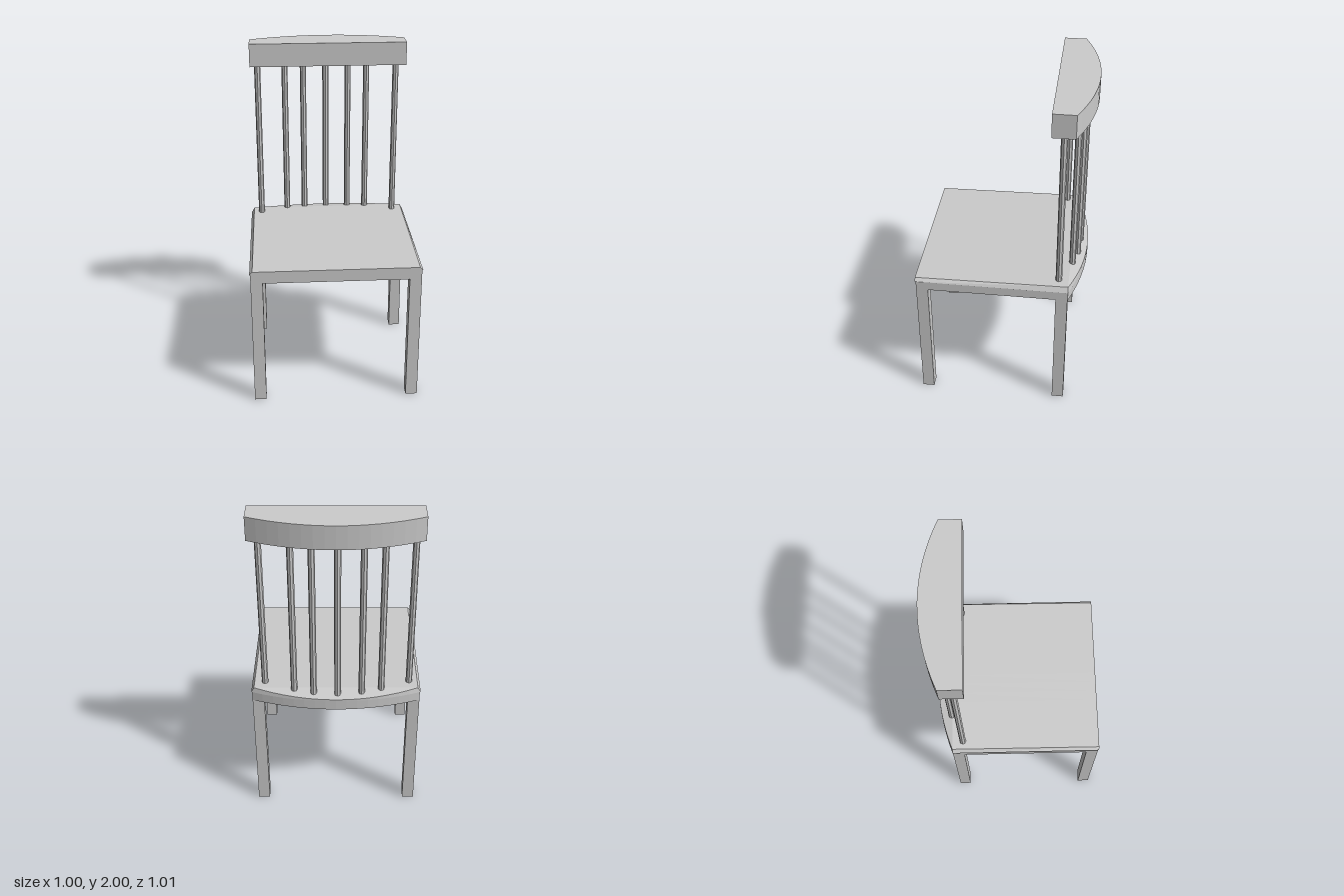
import * as THREE from 'three';

const material = new THREE.MeshStandardMaterial({ color: 0xcccccc, flatShading: true });

// Bowed line: deepest at the middle, reaching `side` at x = +-half
const bow = (x, half, side, depth) => side - depth * (1 - (x / half) ** 2);

// Box whose unit vertices are moved by a rule, then faceted
function shapedBox(name, rowsZ, rule) {
  const geo = new THREE.BoxGeometry(1, 1, 1, 16, 1, rowsZ);
  const p = geo.attributes.position;
  for (let i = 0; i < p.count; i++) p.setXYZ(i, ...rule(p.getX(i), p.getY(i), p.getZ(i)));
  const flat = geo.toNonIndexed();
  flat.computeVertexNormals();
  const mesh = new THREE.Mesh(flat, material);
  mesh.name = name;
  return mesh;
}

export function createModel() {
  const chair = new THREE.Group();
  chair.name = 'chair';

  // Square legs under the four corners
  for (const x of [-0.46, 0.46]) {
    for (const [z, name] of [[0.46, 'frontLeg'], [-0.365, 'backLeg']]) {
      const leg = new THREE.Mesh(new THREE.BoxGeometry(0.07, 0.8, 0.07), material);
      leg.position.set(x, 0.4, z);
      leg.name = name;
      chair.add(leg);
    }
  }

  // Seat frame with a bowed back edge
  chair.add(shapedBox('seatFrame', 2, (x, y, z) => {
    const px = x * 0.99;
    const pz = z > 0.1 ? 0.495 : z > -0.1 ? -0.4 : bow(px, 0.495, -0.401, 0.09);
    return [px, y > 0 ? 0.855 : 0.793, pz];
  }));

  // Seat board: bevelled sides, rising slightly to the back, then falling over the bow
  chair.add(shapedBox('seatBoard', 2, (x, y, z) => {
    const top = y > 0;
    const px = x * (top ? 0.965 : 1);
    const pz = z > 0.1 ? 0.5 : z > -0.1 ? -0.4 : bow(x, 0.5, -0.401, 0.09);
    const topY = z > 0.1 ? 0.87 : z > -0.1 ? 0.884 : 0.884 + (pz + 0.4) * 0.22;
    return [px, top ? topY : 0.852, pz];
  }));

  // Spindles standing along the curve of the back
  for (const x of [-0.432, -0.265, -0.15, -0.009, 0.131, 0.245, 0.42]) {
    const spindle = new THREE.Mesh(new THREE.CylinderGeometry(0.019, 0.019, 1.02, 8), material);
    spindle.position.set(x, 1.37, bow(x, 0.43, -0.337, 0.108));
    spindle.name = 'spindle';
    chair.add(spindle);
  }

  // Top rail: straight front, bowed back
  chair.add(shapedBox('topRail', 1, (x, y, z) => [
    x * 0.954,
    y > 0 ? 2 : 1.86,
    z > 0 ? -0.276 : bow(x, 0.5, -0.405, 0.103),
  ]));

  return chair;
}
